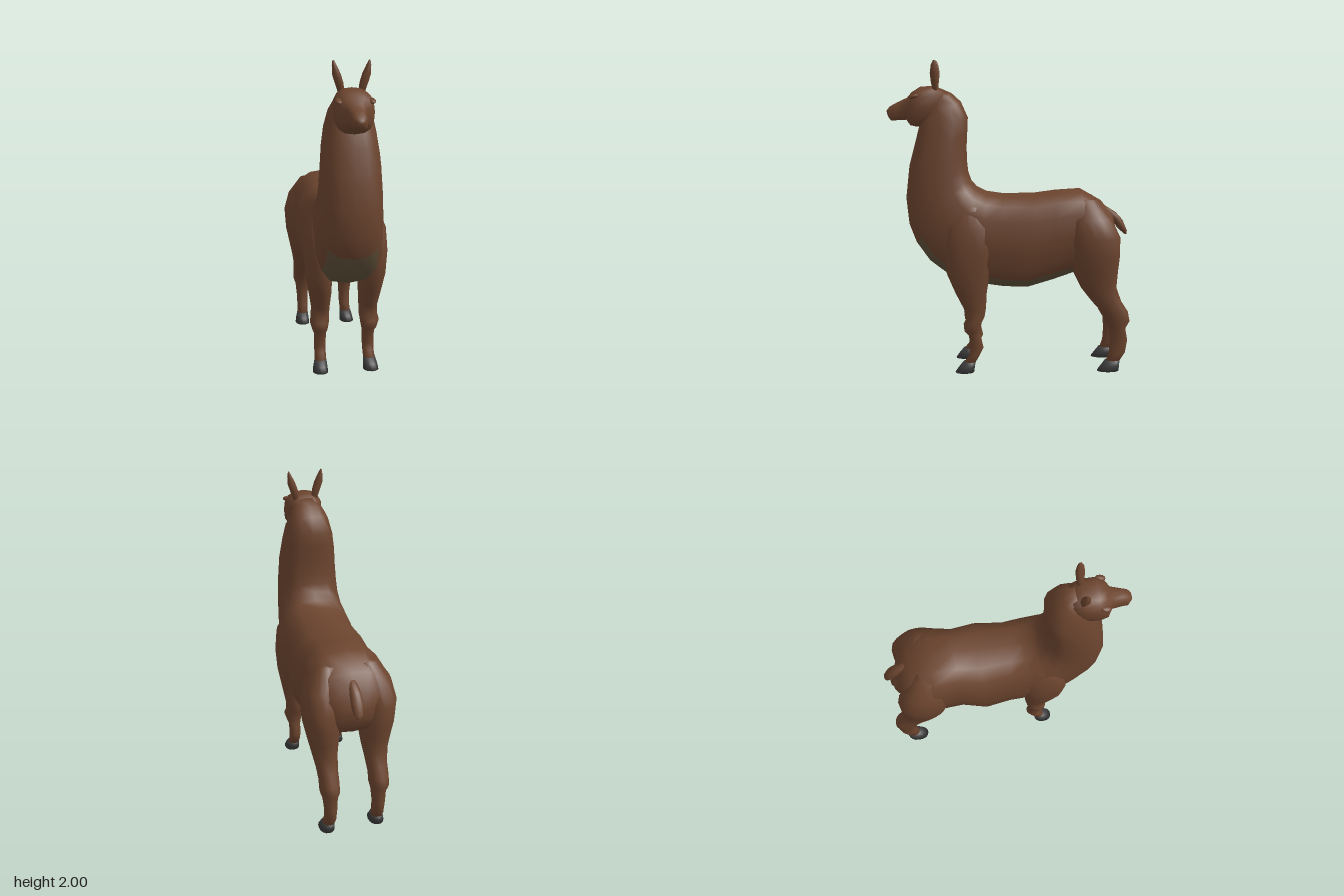
import * as THREE from 'three';

const coat = new THREE.MeshStandardMaterial({ color: 0x6b442e });
coat.name = 'brown coat';
const under = new THREE.MeshStandardMaterial({ color: 0x5f503a });
under.name = 'olive underside';
const horn = new THREE.MeshStandardMaterial({ color: 0x3c3c3d });
horn.name = 'dark hoof';

const SIDES = 16;
const soft = (v, p) => Math.sign(v) * Math.pow(Math.abs(v), p);

// Skin cross-sections [z1, y1, z2, y2, halfWidth, centreX]: each ring spans the
// profile points 1 and 2 in the side plane and halfWidth across.
// isPatch(section, side) picks the quads that take the second material.
function loft(name, sections, material, power = 0.9, isPatch = () => false) {
  const pos = [], main = [], patch = [];
  for (const [z1, y1, z2, y2, w, cx = 0] of sections) {
    for (let i = 0; i < SIDES; i++) {
      const t = (i / SIDES) * Math.PI * 2;
      const c = soft(Math.cos(t), power), s = soft(Math.sin(t), power);
      pos.push(cx + w * s, (y1 + y2) / 2 + c * (y1 - y2) / 2, (z1 + z2) / 2 + c * (z1 - z2) / 2);
    }
  }
  for (let k = 0; k < sections.length - 1; k++) {
    for (let i = 0; i < SIDES; i++) {
      const j = (i + 1) % SIDES, a = k * SIDES, b = a + SIDES;
      (isPatch(k, i) ? patch : main).push(a + i, b + i, b + j, a + i, b + j, a + j);
    }
  }
  // end caps
  [0, sections.length - 1].forEach((k, end) => {
    const [z1, y1, z2, y2, , cx = 0] = sections[k];
    const centre = pos.length / 3;
    pos.push(cx, (y1 + y2) / 2, (z1 + z2) / 2);
    for (let i = 0; i < SIDES; i++) {
      const a = k * SIDES + i, b = k * SIDES + (i + 1) % SIDES;
      if (end === 0) main.push(centre, a, b);
      else main.push(centre, b, a);
    }
  });
  const g = new THREE.BufferGeometry();
  g.setAttribute('position', new THREE.Float32BufferAttribute(pos, 3));
  g.setIndex([...main, ...patch]);
  if (patch.length) {
    g.addGroup(0, main.length, 0);
    g.addGroup(main.length, patch.length, 1);
  }
  g.computeVertexNormals();
  const mesh = new THREE.Mesh(g, material);
  mesh.name = name;
  return mesh;
}

// Leg rows: [y, frontZ, backZ, centreX, halfWidth], from top to bottom
const legLoft = (name, rows, side, material) =>
  loft(name, rows.map(([y, f, b, x, w]) => [f, y, b, y, w, x * side]), material);

// Torso and neck, from rump to nape: top/back point, then belly/throat point
const BODY = [
  [-0.70, 0.90, -0.69, 0.80, 0.09],
  [-0.67, 1.01, -0.66, 0.72, 0.18],
  [-0.60, 1.10, -0.56, 0.68, 0.24],
  [-0.46, 1.18, -0.44, 0.64, 0.26],
  [-0.30, 1.17, -0.28, 0.58, 0.235],
  [-0.15, 1.15, -0.12, 0.535, 0.265],
  [0.05, 1.15, 0.03, 0.535, 0.24],
  [0.15, 1.165, 0.20, 0.56, 0.245],
  [0.21, 1.195, 0.40, 0.62, 0.235],
  [0.245, 1.235, 0.52, 0.71, 0.215],
  [0.265, 1.29, 0.605, 0.83, 0.202],
  [0.273, 1.36, 0.65, 0.95, 0.195],
  [0.275, 1.45, 0.668, 1.12, 0.188],
  [0.27, 1.55, 0.645, 1.33, 0.178],
  [0.266, 1.64, 0.60, 1.50, 0.16],
  [0.31, 1.74, 0.575, 1.60, 0.135],
  [0.37, 1.795, 0.56, 1.61, 0.115],
  [0.44, 1.825, 0.56, 1.64, 0.09],
];

// Skull and muzzle, from nape to nose
const HEAD = [
  [0.40, 1.805, 0.45, 1.60, 0.10],
  [0.48, 1.842, 0.53, 1.585, 0.118],
  [0.57, 1.835, 0.59, 1.58, 0.12],
  [0.625, 1.80, 0.635, 1.59, 0.105],
  [0.655, 1.765, 0.66, 1.625, 0.062],
  [0.72, 1.735, 0.72, 1.622, 0.05],
  [0.765, 1.71, 0.758, 1.62, 0.045],
  [0.785, 1.685, 0.775, 1.645, 0.025],
];

// Tail, from tip to root
const TAIL = [
  [-0.775, 0.875, -0.76, 0.875, 0.01],
  [-0.775, 0.90, -0.73, 0.90, 0.03],
  [-0.745, 0.97, -0.705, 0.925, 0.038],
  [-0.70, 1.02, -0.69, 0.95, 0.036],
  [-0.62, 1.07, -0.64, 0.98, 0.03],
];

const FRONT_LEG = [
  [1.08, 0.32, 0.18, 0.16, 0.045],
  [0.95, 0.40, 0.12, 0.18, 0.075],
  [0.80, 0.42, 0.10, 0.178, 0.088],
  [0.65, 0.405, 0.13, 0.17, 0.085],
  [0.52, 0.35, 0.15, 0.16, 0.072],
  [0.42, 0.30, 0.155, 0.155, 0.06],
  [0.36, 0.277, 0.165, 0.157, 0.06],
  [0.32, 0.30, 0.185, 0.163, 0.062],
  [0.27, 0.295, 0.19, 0.16, 0.05],
  [0.24, 0.265, 0.19, 0.158, 0.04],
  [0.16, 0.262, 0.172, 0.158, 0.038],
  [0.11, 0.262, 0.195, 0.158, 0.037],
  [0.06, 0.30, 0.225, 0.16, 0.038],
];
const FRONT_HOOF = [
  [0.068, 0.302, 0.222, 0.16, 0.039],
  [0.035, 0.33, 0.228, 0.163, 0.045],
  [0.00, 0.355, 0.233, 0.165, 0.05],
];
const HIND_LEG = [
  [1.12, -0.42, -0.56, 0.13, 0.06],
  [1.00, -0.38, -0.65, 0.17, 0.10],
  [0.88, -0.37, -0.705, 0.185, 0.112],
  [0.75, -0.385, -0.705, 0.175, 0.112],
  [0.65, -0.41, -0.695, 0.168, 0.097],
  [0.55, -0.46, -0.688, 0.163, 0.08],
  [0.46, -0.53, -0.72, 0.16, 0.066],
  [0.39, -0.595, -0.765, 0.16, 0.062],
  [0.33, -0.615, -0.777, 0.16, 0.062],
  [0.28, -0.645, -0.75, 0.158, 0.048],
  [0.20, -0.65, -0.765, 0.157, 0.04],
  [0.12, -0.645, -0.752, 0.157, 0.037],
  [0.06, -0.625, -0.712, 0.16, 0.038],
];
const HIND_HOOF = [
  [0.068, -0.62, -0.718, 0.16, 0.039],
  [0.035, -0.595, -0.714, 0.163, 0.045],
  [0.00, -0.568, -0.71, 0.165, 0.05],
];
const EAR = [
  [2.00, 0.482, 0.466, 0.108, 0.004],
  [1.97, 0.496, 0.455, 0.102, 0.014],
  [1.92, 0.503, 0.447, 0.090, 0.026],
  [1.87, 0.498, 0.452, 0.074, 0.026],
  [1.81, 0.488, 0.458, 0.060, 0.02],
];

export function createModel() {
  const model = new THREE.Group();
  model.name = 'llama';

  // olive strip from the chest back along the belly
  const isBelly = (k, i) => k >= 2 && k <= 9 && i >= SIDES / 2 - 2 && i < SIDES / 2 + 2;
  model.add(loft('torsoAndNeck', BODY, [coat, under], 0.78, isBelly));
  model.add(loft('head', HEAD, coat, 0.75));
  model.add(loft('tail', TAIL, coat));

  for (const [side, label] of [[1, 'left'], [-1, 'right']]) {
    model.add(legLoft(`${label}FrontLeg`, FRONT_LEG, side, coat));
    model.add(legLoft(`${label}FrontHoof`, FRONT_HOOF, side, horn));
    model.add(legLoft(`${label}HindLeg`, HIND_LEG, side, coat));
    model.add(legLoft(`${label}HindHoof`, HIND_HOOF, side, horn));
    model.add(legLoft(`${label}Ear`, EAR, side, coat));

    // brow ridge over the eye
    const brow = new THREE.Mesh(new THREE.SphereGeometry(1, 10, 8), coat);
    brow.name = `${label}Brow`;
    brow.scale.set(0.022, 0.014, 0.035);
    brow.position.set(0.098 * side, 1.775, 0.605);
    brow.rotation.x = 0.3;
    model.add(brow);
  }
  return model;
}
